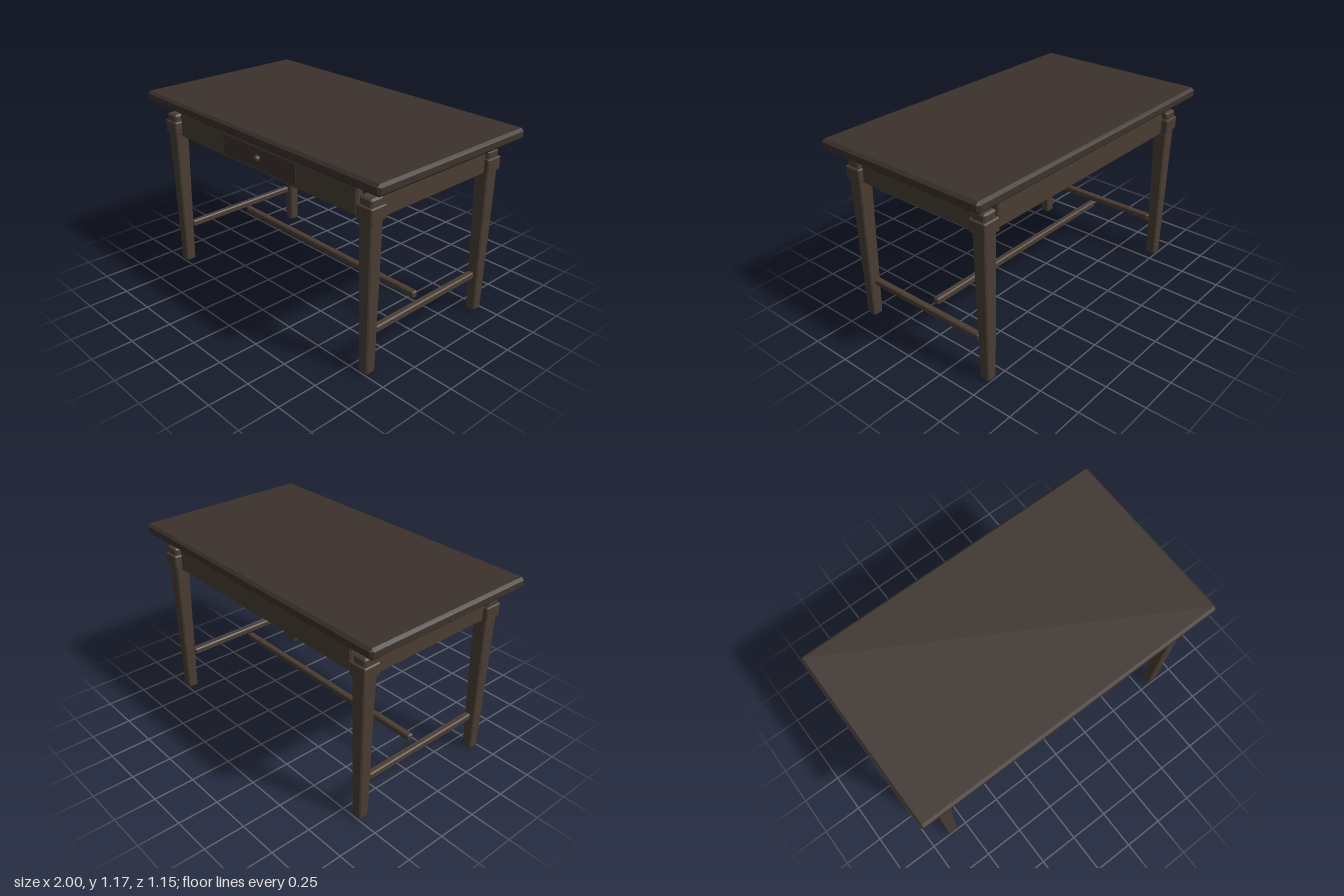
import * as THREE from 'three';
import { ConvexGeometry } from 'three/addons/geometries/ConvexGeometry.js';

const darkWood = new THREE.MeshStandardMaterial({ color: 0x3b322c });
const wood = new THREE.MeshStandardMaterial({ color: 0x4a3d33 });

// Box with chamfered edges; bottomScale narrows the lower end into a taper.
function chamferBox(w, h, d, c, bottomScale = 1) {
  const points = [];
  for (const sx of [-1, 1]) for (const sy of [-1, 1]) for (const sz of [-1, 1]) {
    const s = sy < 0 ? bottomScale : 1;
    const x = w / 2 * s, y = h / 2, z = d / 2 * s;
    points.push(
      new THREE.Vector3(sx * x, sy * (y - c), sz * (z - c)),
      new THREE.Vector3(sx * (x - c), sy * y, sz * (z - c)),
      new THREE.Vector3(sx * (x - c), sy * (y - c), sz * z));
  }
  return new ConvexGeometry(points);
}

function add(parent, name, geometry, material, x, y, z) {
  const mesh = new THREE.Mesh(geometry, material);
  mesh.name = name;
  mesh.position.set(x, y, z);
  parent.add(mesh);
  return mesh;
}

export function createModel() {
  const table = new THREE.Group();
  table.name = 'table';
  const legX = 0.845, legZ = 0.463;

  // Top slab and the moulding under it
  add(table, 'tableTop', chamferBox(2, 0.067, 1.15, 0.016), darkWood, 0, 1.1375, 0);
  add(table, 'topMoulding', chamferBox(1.86, 0.027, 1.03, 0.007), darkWood, 0, 1.0925, 0);

  // Tapered legs with a collar and a cap
  const shaft = chamferBox(0.09, 0.93, 0.09, 0.008, 0.72);
  const collar = chamferBox(0.11, 0.082, 0.11, 0.006);
  const cap = chamferBox(0.09, 0.06, 0.09, 0.01);
  for (const sx of [-1, 1]) for (const sz of [-1, 1]) {
    const leg = new THREE.Group();
    leg.name = (sz > 0 ? 'front' : 'back') + (sx > 0 ? 'Left' : 'Right') + 'Leg';
    leg.position.set(sx * legX, 0, sz * legZ);
    add(leg, 'legShaft', shaft, wood, 0, 0.465, 0);
    add(leg, 'legCollar', collar, wood, 0, 0.954, 0);
    add(leg, 'legCap', cap, wood, 0, 1.01, 0);
    table.add(leg);
  }

  // Aprons, and the side stretchers below them
  const longApron = chamferBox(1.54, 0.165, 0.055, 0.009);
  const sideApron = chamferBox(0.055, 0.165, 0.83, 0.009);
  const sideStretcher = chamferBox(0.04, 0.042, 0.83, 0.007);
  for (const s of [-1, 1]) {
    add(table, s > 0 ? 'frontApron' : 'backApron', longApron, wood, 0, 0.9875, s * legZ);
    const side = s > 0 ? 'left' : 'right';
    add(table, side + 'Apron', sideApron, wood, s * legX, 0.9875, 0);
    add(table, side + 'Stretcher', sideStretcher, wood, s * legX, 0.248, 0);
  }
  add(table, 'centreStretcher', chamferBox(1.54, 0.042, 0.04, 0.007), wood, 0, 0.248, 0);

  // Drawer front and knob
  add(table, 'drawerFront', new THREE.BoxGeometry(0.635, 0.125, 0.02), darkWood, 0, 0.9875, 0.484);
  add(table, 'drawerKnob', new THREE.SphereGeometry(0.023, 20, 14), darkWood, 0, 0.9875, 0.5);

  return table;
}
